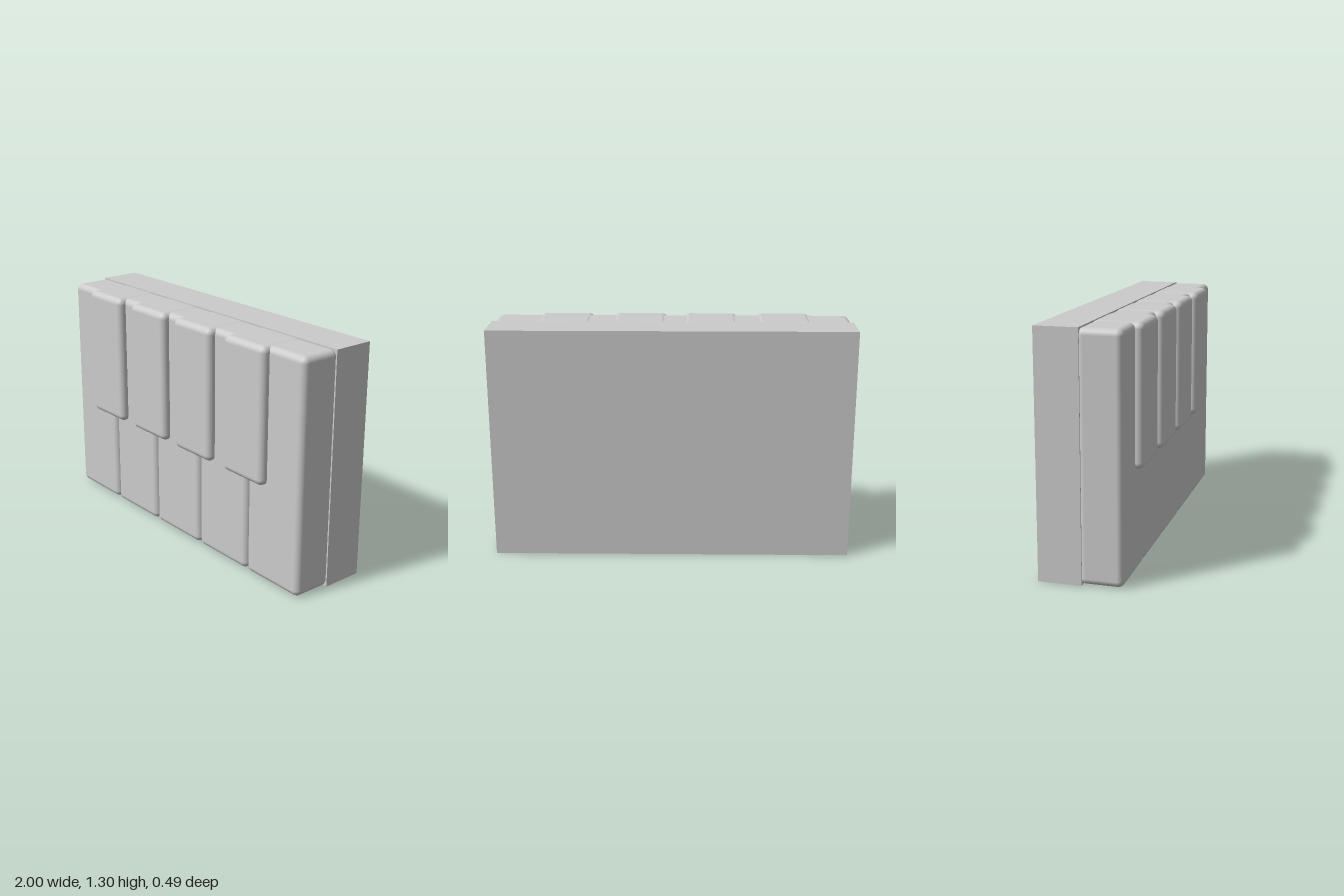
import * as THREE from 'three';
import { RoundedBoxGeometry } from 'three/addons/geometries/RoundedBoxGeometry.js';

export function createModel() {
  const group = new THREE.Group();
  group.name = 'pianoKeys';
  const material = new THREE.MeshStandardMaterial({ color: 0xcccccc });

  // Adds a box given by its minimum and maximum corners, rounded if radius > 0
  function addBox(name, min, max, radius) {
    const [w, h, d] = max.map((v, i) => v - min[i]);
    const geometry = radius
      ? new RoundedBoxGeometry(w, h, d, 5, radius)
      : new THREE.BoxGeometry(w, h, d);
    const mesh = new THREE.Mesh(geometry, material);
    mesh.name = name;
    mesh.position.set(...max.map((v, i) => (v + min[i]) / 2));
    group.add(mesh);
  }

  // Sharp-edged backing block
  addBox('base', [-1, 0, -0.245], [1, 1.3, -0.015], 0);

  // Five long keys, set slightly into the base
  for (let i = 0; i < 5; i++) {
    const x = -0.8 + i * 0.4;
    addBox(`longKey${i + 1}`, [x - 0.198, 0.003, -0.03], [x + 0.198, 1.297, 0.202], 0.035);
  }

  // Four short raised keys, unevenly spaced over the joints
  [-0.625, -0.215, 0.182, 0.6].forEach((x, i) => {
    addBox(`shortKey${i + 1}`, [x - 0.155, 0.555, -0.03], [x + 0.155, 1.3, 0.245], 0.035);
  });

  return group;
}
